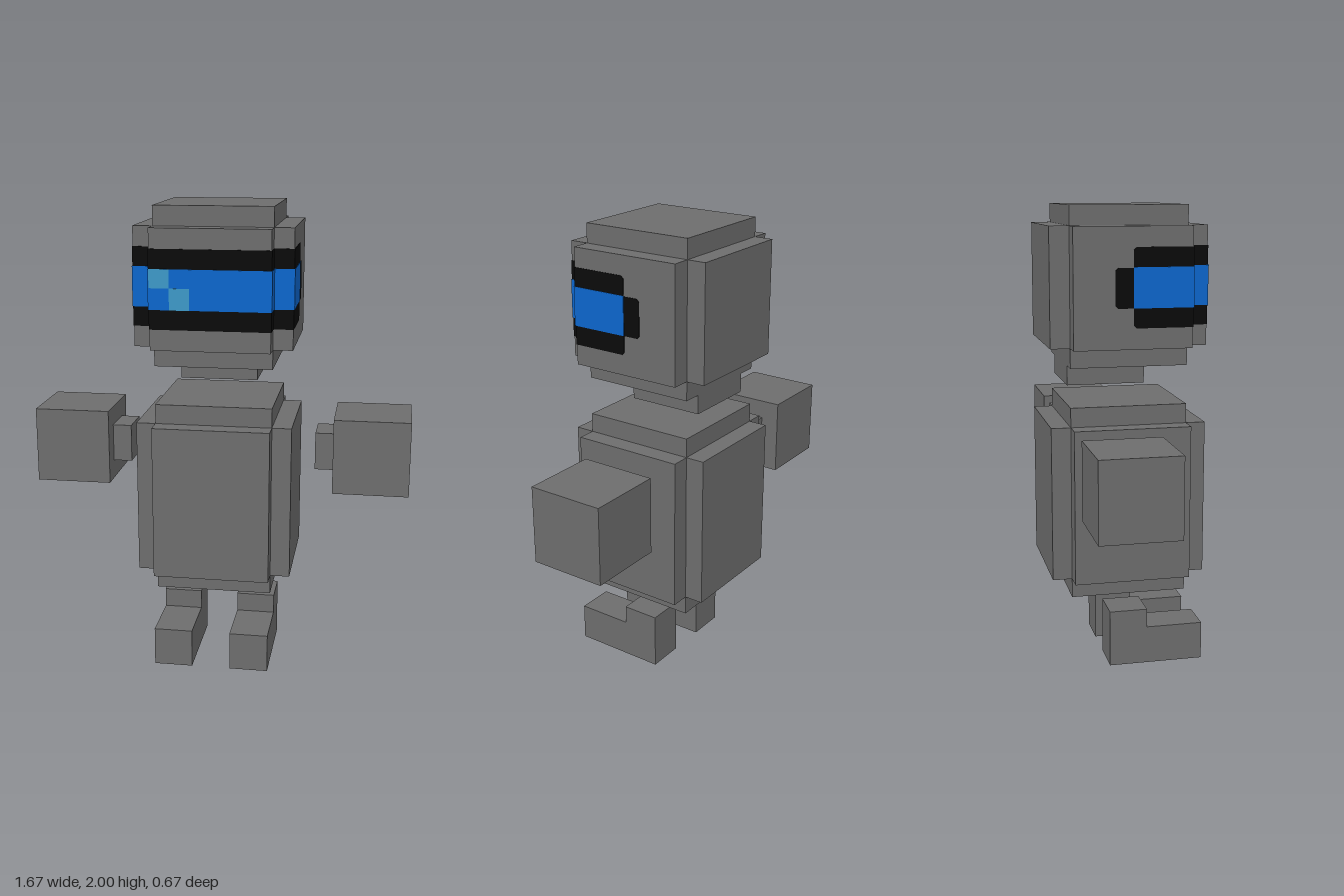
import * as THREE from 'three';

const U = 1 / 12; // block size

export function createModel() {
  const model = new THREE.Group();
  model.name = 'blockFigure';

  const material = (name, color) => {
    const m = new THREE.MeshStandardMaterial({ color });
    m.name = name;
    return m;
  };
  const grey = material('suitGrey', 0x6d6d6d);
  const black = material('visorFrameBlack', 0x0a0a0a);
  const blue = material('visorBlue', 0x0c66cc);
  const glint = material('visorGlint', 0x3d99c8);

  const group = (name, parent = model) => {
    const g = new THREE.Group();
    g.name = name;
    parent.add(g);
    return g;
  };

  // Box from min/max corners given in blocks
  const box = (name, parent, mat, x0, x1, y0, y1, z0, z1) => {
    const geo = new THREE.BoxGeometry((x1 - x0) * U, (y1 - y0) * U, (z1 - z0) * U);
    geo.translate((x0 + x1) / 2 * U, (y0 + y1) / 2 * U, (z0 + z1) / 2 * U);
    const mesh = new THREE.Mesh(geo, mat);
    mesh.name = name;
    parent.add(mesh);
    return mesh;
  };

  // Prism along x from a side outline of [z, y] points in blocks
  const sidePrism = (name, parent, mat, outline, x0, x1) => {
    const shape = new THREE.Shape(outline.map(([z, y]) => new THREE.Vector2(-z * U, y * U)));
    const geo = new THREE.ExtrudeGeometry(shape, { depth: (x1 - x0) * U, bevelEnabled: false });
    geo.rotateY(Math.PI / 2);
    geo.translate(x0 * U, 0, 0);
    const mesh = new THREE.Mesh(geo, mat);
    mesh.name = name;
    parent.add(mesh);
  };

  // Cube with stepped edges, used for head and body
  const steppedBlock = (name, y0, y1) => {
    const g = group(name);
    box(name + 'Core', g, grey, -3, 3, y0, y1, -3, 3);
    box(name + 'Sides', g, grey, -4, 4, y0 + 1, y1 - 1, -3, 3);
    box(name + 'FrontAndBack', g, grey, -3, 3, y0 + 1, y1 - 1, -4, 4);
    return g;
  };

  steppedBlock('body', 4, 14);
  const head = steppedBlock('head', 16, 24);
  box('neck', head, grey, -2, 2, 15, 16, -3, 1);

  // Visor wraps the front half of the head in thin layers
  const visor = group('visor', head);
  const E = 0.025;
  const wrap = (name, mat, y0, y1, e) => {
    box(name + 'Front', visor, mat, -3 - e, 3 + e, y0, y1, 3, 4 + e);
    for (const s of [-1, 1]) {
      const a = s > 0 ? 3 : -4 - e, b = s > 0 ? 4 + e : -3;
      box(name + 'Corner', visor, mat, a, b, y0, y1, 2.9, 3 + e);
    }
  };
  wrap('frame', black, 18.05, 22, E);
  wrap('glass', blue, 19.03, 21.03, 2 * E);

  // Side frame with clipped corners and a rear tab
  const c = 0.14;
  const sideFrame = [
    [3, 18.05], [c, 18.05], [0, 18.05 + c], [0, 19.03], [-0.92 + c, 19.03], [-0.92, 19.03 + c],
    [-0.92, 21 - c], [-0.92 + c, 21], [0, 21], [0, 22 - c], [c, 22], [3, 22],
  ];
  for (const s of [-1, 1]) {
    const plate = (e) => (s > 0 ? [4 - E, 4 + e] : [-4 - e, -4 + E]);
    sidePrism('frameSide', visor, black, sideFrame, ...plate(E));
    box('glassSide', visor, blue, ...plate(2 * E), 19.03, 21.03, 0, 3);
  }
  box('glintUpper', visor, glint, -3, -2, 20.1, 21.03, 4, 4 + 3 * E);
  box('glintLower', visor, glint, -2, -1, 19.03, 20.1, 4, 4 + 3 * E);

  // Floating hands and feet on both sides
  const legOutline = [[-1, 0], [4, 0], [4, 2], [1, 2], [1, 3], [-1, 3]];
  for (const [side, s] of [['left', 1], ['right', -1]]) {
    const span = (a, b) => (s > 0 ? [a, b] : [-b, -a]);
    const arm = group(side + 'Arm');
    box(side + 'Hand', arm, grey, ...span(6, 10), 9, 13, -3, 1);
    box(side + 'Wrist', arm, grey, ...span(5, 6), 10, 12, -2, 0);
    sidePrism(side + 'Leg', model, grey, legOutline, ...span(1, 3));
  }
  return model;
}
